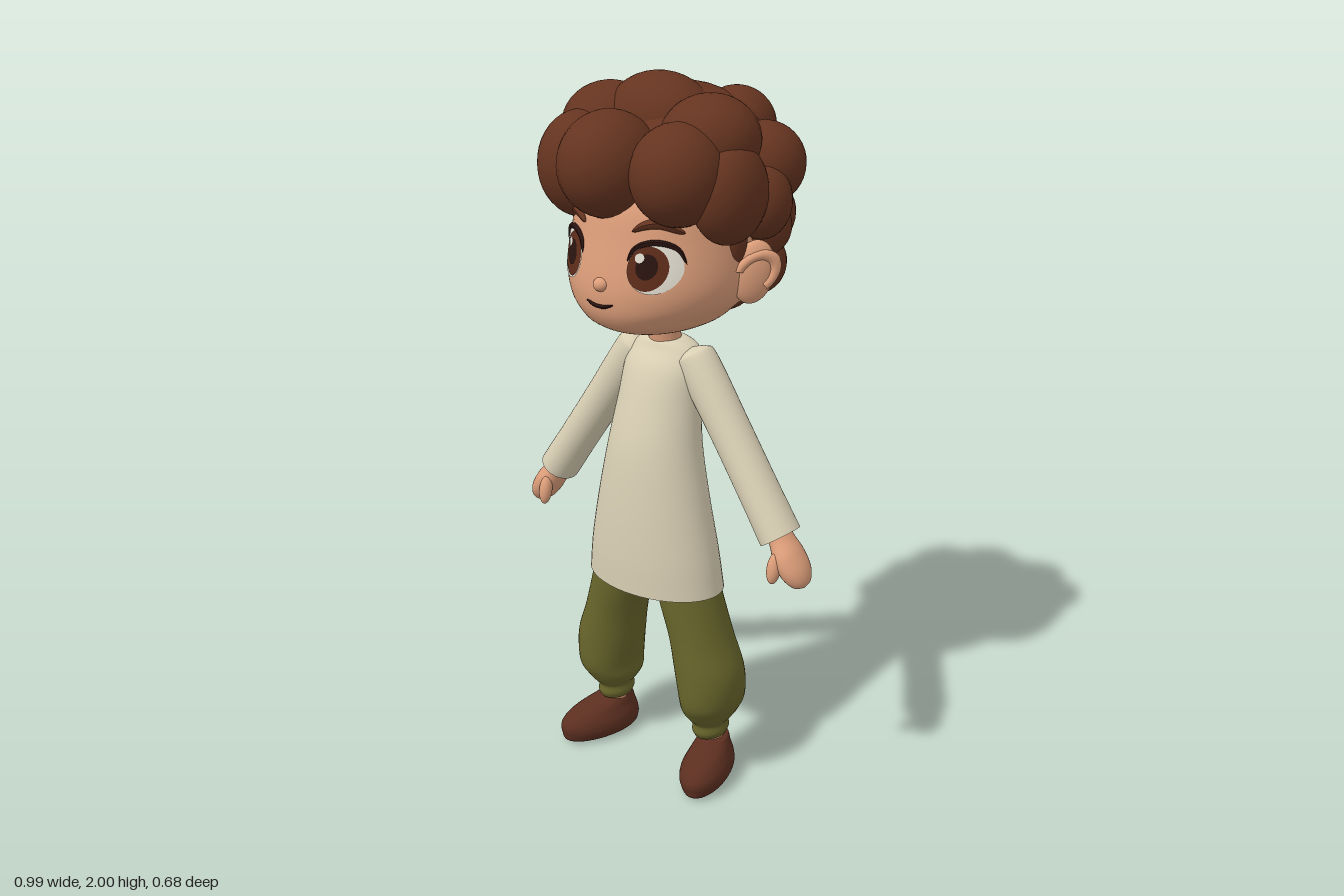
import * as THREE from 'three';

const mat = (name, color, extra = {}) => {
  const m = new THREE.MeshStandardMaterial({ color, ...extra });
  m.name = name;
  return m;
};

// Smooth skin through horizontal sections [y, x, z, radiusX, radiusZ], listed upwards
function sectionCurves(rows) {
  const curve = (f) => new THREE.CatmullRomCurve3(rows.map(f), false, 'catmullrom', 0.5);
  return {
    mid: curve((r) => new THREE.Vector3(r[1], r[0], r[2])),
    rad: curve((r) => new THREE.Vector3(r[3], 0, r[4])),
  };
}

function loft(rows, sides = 48) {
  const { mid, rad } = sectionCurves(rows);
  const steps = (rows.length - 1) * 6;
  const pos = [], index = [];
  for (let i = 0; i <= steps; i++) {
    const c = mid.getPoint(i / steps), r = rad.getPoint(i / steps);
    for (let j = 0; j < sides; j++) {
      const a = (j / sides) * Math.PI * 2;
      pos.push(c.x + Math.max(r.x, 0.0002) * Math.cos(a), c.y, c.z + Math.max(r.z, 0.0002) * Math.sin(a));
      if (i < steps) {
        const p = i * sides + j, q = i * sides + ((j + 1) % sides);
        index.push(p, p + sides, q, q, p + sides, q + sides);
      }
    }
  }
  const g = new THREE.BufferGeometry();
  g.setAttribute('position', new THREE.Float32BufferAttribute(pos, 3));
  g.setIndex(index);
  g.computeVertexNormals();
  return g;
}

const HEAD = [
  [1.338, 0, 0.05, 0, 0], [1.346, 0, 0.05, 0.1, 0.12], [1.37, 0, 0.04, 0.165, 0.19],
  [1.4, 0, 0.03, 0.2, 0.228], [1.44, 0, 0.02, 0.235, 0.25], [1.5, 0, 0.012, 0.252, 0.258],
  [1.6, 0, 0, 0.25, 0.25], [1.7, 0, 0, 0.235, 0.225], [1.8, 0, 0, 0.17, 0.16], [1.86, 0, 0, 0, 0],
];
const headCurves = sectionCurves(HEAD);

// Depth of the face surface at (x, y)
function faceZ(x, y) {
  let lo = 0, hi = 1;
  for (let i = 0; i < 30; i++) {
    const t = (lo + hi) / 2;
    if (headCurves.mid.getPoint(t).y < y) lo = t; else hi = t;
  }
  const c = headCurves.mid.getPoint(lo), r = headCurves.rad.getPoint(lo);
  return c.z + r.z * Math.sqrt(Math.max(0, 1 - (x / r.x) ** 2));
}

// Oval plate that follows the face
function facePatch(x, y, rx, ry, lift) {
  const g = new THREE.RingGeometry(0, 1, 32, 6);
  const p = g.attributes.position;
  for (let i = 0; i < p.count; i++) {
    const px = x + p.getX(i) * rx, py = y + p.getY(i) * ry;
    p.setXYZ(i, px, py, faceZ(px, py) + lift);
  }
  g.computeVertexNormals();
  return g;
}

// Tapered line that follows the face
function faceStroke(points, radius) {
  const curve = new THREE.CatmullRomCurve3(
    points.map(([x, y]) => new THREE.Vector3(x, y, faceZ(x, y) + 0.004)));
  const n = 24, sides = 8;
  const g = new THREE.TubeGeometry(curve, n, radius, sides);
  const p = g.attributes.position, v = new THREE.Vector3();
  for (let i = 0; i < p.count; i++) {
    const t = Math.floor(i / (sides + 1)) / n;
    const c = curve.getPointAt(t);
    v.fromBufferAttribute(p, i).sub(c).multiplyScalar(Math.sqrt(Math.max(Math.sin(Math.PI * t), 0.0004))).add(c);
    p.setXYZ(i, v.x, v.y, v.z);
  }
  g.computeVertexNormals();
  return g;
}

export function createModel() {
  const skin = mat('skin', 0xdd9e7a);
  const hair = mat('hair brown', 0x653420);
  const cloth = mat('cream cloth', 0xd9cfb4, { side: THREE.DoubleSide });
  const trouser = mat('olive cloth', 0x68652b, { side: THREE.DoubleSide });
  const shoe = mat('shoe brown', 0x5c2f20);
  const white = mat('eye white', 0xe4dfd2);
  const iris = mat('iris brown', 0x5e2c1a);
  const dark = mat('dark brown', 0x2a1410);

  const model = new THREE.Group();
  model.name = 'child';
  const add = (name, geometry, material, parent = model) => {
    const m = new THREE.Mesh(geometry, material);
    m.name = name;
    parent.add(m);
    return m;
  };
  const ball = new THREE.SphereGeometry(1, 28, 20);
  const blob = (name, material, [x, y, z, rx, ry = rx, rz = rx], parent = model) => {
    const m = add(name, ball, material, parent);
    m.position.set(x, y, z);
    m.scale.set(rx, ry, rz);
    return m;
  };

  // Head and face
  add('head', loft(HEAD, 64), skin);
  blob('nose', skin, [0, 1.497, 0.264, 0.022, 0.019, 0.022]);
  add('mouth', faceStroke([[-0.045, 1.451], [-0.02, 1.443], [0, 1.441], [0.02, 1.443], [0.045, 1.451]], 0.0055), dark);
  add('neck', loft([[1.25, 0, 0.0, 0.046, 0.046], [1.31, 0, 0.01, 0.044, 0.045], [1.38, 0, 0.022, 0.046, 0.047]], 32), skin);

  // Hair: a core covered with round curls
  blob('hairCore', hair, [0, 1.73, -0.06, 0.275, 0.24, 0.245]);
  const middleCurls = [
    [-0.03, 1.79, 0.195, 0.125, 0.137, 0.143], [-0.17, 1.765, 0.14, 0.115, 0.14, 0.12],
    [0.16, 1.78, 0.155, 0.122, 0.13, 0.125], [-0.02, 1.87, 0, 0.16, 0.13, 0.125],
    [0, 1.61, -0.235, 0.095], [0, 1.46, -0.175, 0.09],
  ];
  const pairedCurls = [
    [0.25, 1.73, 0.06, 0.085, 0.13, 0.12], [0.165, 1.85, 0.03, 0.13, 0.115, 0.13],
    [0.1, 1.85, -0.165, 0.105, 0.105, 0.11], [0.09, 1.72, -0.24, 0.1],
    [0.21, 1.77, -0.14, 0.11], [0.255, 1.69, -0.07, 0.08, 0.1, 0.08],
    [0.15, 1.62, -0.205, 0.1], [0.215, 1.61, -0.12, 0.085], [0.08, 1.51, -0.215, 0.092],
    [0.175, 1.5, -0.15, 0.09], [0.09, 1.44, -0.135, 0.085], [0.232, 1.61, 0.015, 0.032, 0.085, 0.04],
  ];
  middleCurls.forEach((c) => blob('curl', hair, c));
  for (const s of [1, -1])
    pairedCurls.forEach(([x, ...rest]) => blob('curl', hair, [s * x, ...rest]));

  // Tunic
  add('tunic', loft([
    [0.59, 0, 0.047, 0.216, 0.143], [0.7, 0, 0.052, 0.2, 0.139], [0.85, 0, 0.055, 0.17, 0.128],
    [1.0, 0, 0.05, 0.14, 0.115], [1.13, 0, 0.03, 0.123, 0.1], [1.22, 0, 0.012, 0.118, 0.086],
    [1.27, 0, -0.002, 0.1, 0.066], [1.29, 0, 0, 0.07, 0.053], [1.296, 0, 0.002, 0.04, 0.04],
  ]), cloth);
  blob('trouserSeat', trouser, [0, 0.685, 0.045, 0.165, 0.075, 0.1]);

  for (const s of [1, -1]) {
    const side = s > 0 ? 'left' : 'right';

    // Eye, lash and brow
    const eye = new THREE.Group();
    eye.name = side + 'Eye';
    model.add(eye);
    add('eyeWhite', facePatch(s * 0.136, 1.55, 0.06, 0.063, 0.004), white, eye);
    add('iris', facePatch(s * 0.124, 1.551, 0.046, 0.056, 0.006), iris, eye);
    add('pupil', facePatch(s * 0.124, 1.556, 0.025, 0.032, 0.0078), dark, eye);
    add('highlight', facePatch(s * 0.124 - 0.017, 1.578, 0.011, 0.012, 0.0095), white, eye);
    const mirrored = (pts) => pts.map(([x, y]) => [s * x, y]);
    add('upperLash', faceStroke(mirrored([[0.074, 1.565], [0.09, 1.6], [0.135, 1.616], [0.18, 1.6], [0.199, 1.562]]), 0.008), dark, eye);
    add('brow', faceStroke(mirrored([[0.078, 1.64], [0.105, 1.656], [0.14, 1.662], [0.19, 1.638]]), 0.013), hair, eye);

    // Ear with a raised rim
    const ear = new THREE.Group();
    ear.name = side + 'Ear';
    ear.position.set(s * 0.263, 1.512, -0.03);
    ear.rotation.set(0, s * 0.95, -s * 0.18);
    model.add(ear);
    blob('earLobe', skin, [0, 0, 0, 0.058, 0.085, 0.028], ear);
    const rim = add('earRim', new THREE.TorusGeometry(0.042, 0.012, 10, 28, Math.PI * 1.2), skin, ear);
    rim.scale.set(s, 1.4, 1);
    if (s < 0) rim.scale.set(1, 1.4, 1);
    rim.rotation.z = s > 0 ? -0.8 : Math.PI - 0.2 * Math.PI + 0.8;
    rim.position.z = 0.018;

    // Arm hanging outwards
    const arm = new THREE.Group();
    arm.name = side + 'Arm';
    arm.position.set(s * 0.11, 1.235, 0);
    arm.rotation.z = s * 0.6;
    model.add(arm);
    add('sleeve', loft([
      [-0.51, 0, 0.009, 0.056, 0.063], [-0.38, 0, 0.006, 0.055, 0.06], [-0.2, 0, 0.002, 0.056, 0.058],
      [0, 0, 0, 0.058, 0.057], [0.035, 0, 0, 0.042, 0.043], [0.052, 0, 0, 0, 0],
    ], 36), cloth, arm);
    add('hand', loft([
      [-0.662, 0, 0.014, 0, 0], [-0.65, 0, 0.014, 0.022, 0.03], [-0.615, 0, 0.014, 0.036, 0.05],
      [-0.565, 0, 0.014, 0.038, 0.053], [-0.515, 0, 0.01, 0.032, 0.04], [-0.44, 0, 0.008, 0.032, 0.036],
    ], 28), skin, arm);
    const thumb = blob('thumb', skin, [-s * 0.026, -0.578, 0.06, 0.019, 0.044, 0.02], arm);
    thumb.rotation.set(-0.25, 0, -s * 0.6);

    // Baggy trouser leg gathered at the ankle
    add(side + 'TrouserLeg', loft([
      [0.128, s * 0.18, 0.02, 0.042, 0.054], [0.145, s * 0.18, 0.02, 0.048, 0.062],
      [0.168, s * 0.18, 0.02, 0.046, 0.06], [0.185, s * 0.18, 0.02, 0.058, 0.074],
      [0.215, s * 0.182, 0.022, 0.076, 0.095], [0.26, s * 0.19, 0.027, 0.085, 0.111],
      [0.35, s * 0.182, 0.033, 0.095, 0.107], [0.45, s * 0.156, 0.038, 0.087, 0.1],
      [0.59, s * 0.115, 0.045, 0.088, 0.096], [0.72, s * 0.09, 0.045, 0.08, 0.09],
    ], 40), trouser);
    add(side + 'Ankle', loft([
      [0.08, s * 0.188, 0.015, 0.036, 0.04], [0.12, s * 0.183, 0.018, 0.036, 0.04], [0.17, s * 0.18, 0.02, 0.036, 0.04],
    ], 24), skin);

    // Shoe, toe turned out
    const foot = add(side + 'Shoe', loft([
      [0, 0, 0, 0, 0], [0.003, 0, 0, 0.048, 0.11], [0.03, 0, 0, 0.068, 0.13], [0.06, 0, 0, 0.068, 0.129],
      [0.088, 0, -0.012, 0.056, 0.108], [0.108, 0, -0.04, 0.046, 0.074], [0.12, 0, -0.056, 0.036, 0.044],
      [0.121, 0, -0.056, 0, 0],
    ], 40), shoe);
    foot.position.set(s * 0.206, 0, 0.068);
    foot.rotation.y = s * 0.3;
  }
  return model;
}
